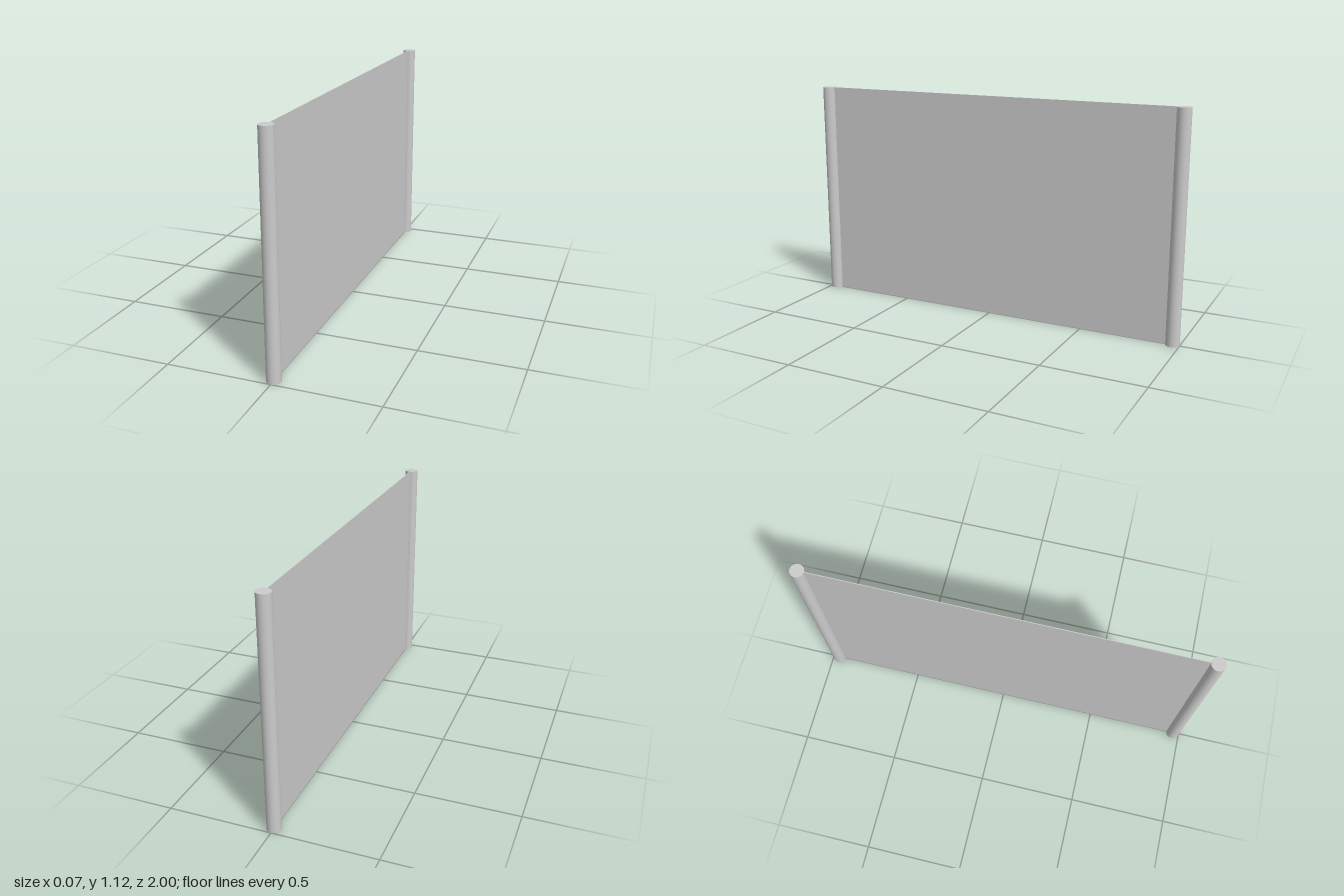
import * as THREE from 'three';

const HEIGHT = 1.124;
const POST_RADIUS = 0.034;
const POST_Z = 1 - POST_RADIUS;
const PANEL_THICKNESS = 0.004;

export function createModel() {
  const group = new THREE.Group();
  group.name = 'fencePanel';
  const material = new THREE.MeshStandardMaterial({ color: 0xcccccc });

  const add = (name, geometry, z) => {
    const mesh = new THREE.Mesh(geometry, material);
    mesh.name = name;
    mesh.position.set(0, HEIGHT / 2, z);
    group.add(mesh);
  };

  // Round end posts
  const post = new THREE.CylinderGeometry(POST_RADIUS, POST_RADIUS, HEIGHT, 32);
  add('frontPost', post, POST_Z);
  add('backPost', post, -POST_Z);

  // Thin sheet held between the posts, its ends set just inside them
  const length = 2 * (POST_Z - POST_RADIUS + 0.004);
  add('panel', new THREE.BoxGeometry(PANEL_THICKNESS, HEIGHT, length), 0);

  return group;
}
